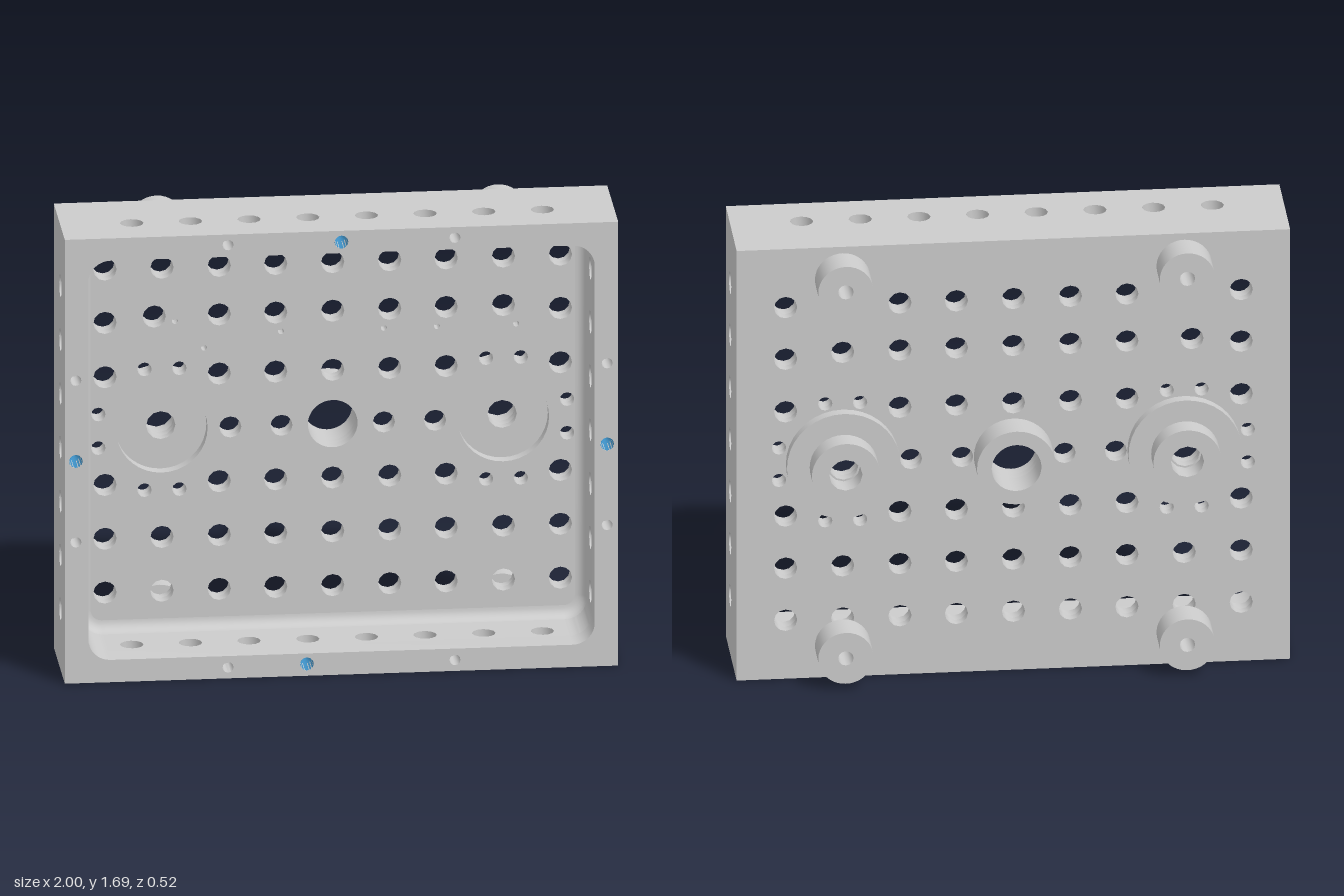
import * as THREE from 'three';
import { toCreasedNormals } from 'three/addons/utils/BufferGeometryUtils.js';

const grey = new THREE.MeshStandardMaterial({ color: 0xcccccc });
const greyDouble = new THREE.MeshStandardMaterial({ color: 0xcccccc, side: THREE.DoubleSide });
const blue = new THREE.MeshStandardMaterial({ color: 0x3d8fc4, side: THREE.DoubleSide });

const H = 1.69, CY = H / 2;              // overall height and its middle
const FRONT = 0.26, BACK = -0.14;        // body faces
const FLOOR = -0.06, SPLIT = -0.105;     // tray floor and recess floor
const STEP = 0.16;                       // bottom of the blind rim holes
const IW = 0.915, IH = 0.76, IR = 0.08;  // cavity half sizes and corner radius
const PORT = 0.617, HOLE = 0.042;

function circlePoints(x, y, r) {
  const n = r > 0.08 ? 36 : 12;
  return Array.from({ length: n }, (_, i) => {
    const a = (i / n) * Math.PI * 2;
    return new THREE.Vector2(x + r * Math.cos(a), y + r * Math.sin(a));
  });
}

// rounded rectangle around the cavity centre, moved inward by d
function cavityPoints(d) {
  const pts = [], r = IR - d;
  for (let c = 0; c < 4; c++) {
    const sx = c === 0 || c === 3 ? 1 : -1, sy = c < 2 ? 1 : -1;
    for (let i = 0; i <= 8; i++) {
      const a = (c + i / 8) * Math.PI / 2;
      pts.push(new THREE.Vector2(sx * (IW - IR) + r * Math.cos(a), CY + sy * (IH - IR) + r * Math.sin(a)));
    }
  }
  return pts;
}

function rect(x0, y0, x1, y1) {
  return new THREE.Shape([[x0, y0], [x1, y0], [x1, y1], [x0, y1]].map(p => new THREE.Vector2(...p)));
}

// holes are [x, y, radius]
function drill(shape, holes) {
  holes.forEach(h => shape.holes.push(new THREE.Path(circlePoints(...h))));
  return shape;
}

function extrude(shape, depth) {
  return toCreasedNormals(new THREE.ExtrudeGeometry(shape, { depth, bevelEnabled: false, curveSegments: 8 }), 0.6);
}

export function createModel() {
  const group = new THREE.Group();
  const add = (name, geometry, x = 0, y = 0, z = 0, material = grey) => {
    const mesh = new THREE.Mesh(geometry, material);
    mesh.name = name;
    mesh.position.set(x, y, z);
    group.add(mesh);
    return mesh;
  };

  // hole pattern of the back plate
  const holes = [[0, CY, 0.09]];
  for (const y of [0.23, 0.435, 0.64, 1.05, 1.275, 1.46]) {
    for (const x of [-0.823, -PORT, -0.41, -0.206, 0, 0.206, 0.41, PORT, 0.823]) {
      const end = Math.abs(x) > 0.8, port = Math.abs(x) === PORT;
      if (port && (y === 0.64 || y === 1.05)) continue;
      if (y === 1.275) holes.push([x === -PORT ? -0.645 : x, end ? 1.257 : y, HOLE]);
      else holes.push([x, y, HOLE]);
    }
  }
  for (const s of [-1, 1]) {
    holes.push([s * 0.37, CY, 0.04], [s * 0.185, CY, 0.04]);
    // small holes around each port
    for (const t of [-1, 1]) {
      holes.push([s * 0.847, CY + t * 0.064, 0.026]);
      for (const u of [-1, 1]) holes.push([s * PORT + u * 0.063, CY + t * 0.23, 0.026]);
    }
  }
  const pins = [[-0.57, 1.255], [-0.465, 1.15], [-0.187, 1.203], [0.185, 1.203], [0.377, 1.203], [0.663, 1.203]]
    .map(p => [...p, 0.011]);
  const ports = r => [[-PORT, CY, r], [PORT, CY, r]];

  // back plate in two layers, so recesses and pin holes stay blind
  add('floorPlate', extrude(drill(rect(-1, 0, 1, H), [...holes, ...pins, ...ports(0.165)]), FLOOR - SPLIT), 0, 0, SPLIT);
  add('backPlate', extrude(drill(rect(-1, 0, 1, H), [...holes, ...ports(0.053)]), SPLIT - BACK), 0, 0, BACK);

  // side walls with through holes
  const sideHoles = Array.from({ length: 7 }, (_, i) => [-0.1, 0.23 + i * 0.205, HOLE]);
  const side = extrude(drill(rect(-STEP, 0, -FLOOR, H), sideHoles), 1 - IW).rotateY(Math.PI / 2);
  add('leftWall', side, IW);
  add('rightWall', side, -1);

  // top and bottom walls with through holes
  const endHoles = Array.from({ length: 8 }, (_, i) => [-0.742 + i * 0.212, -0.1, HOLE]);
  const end = extrude(drill(rect(-IW, -STEP, IW, -FLOOR), endHoles), CY - IH).rotateX(-Math.PI / 2);
  add('bottomWall', end);
  add('topWall', end, 0, CY + IH);

  // rounded inside corners
  const corner = new THREE.Shape();
  corner.moveTo(0, 0);
  corner.lineTo(-IR, 0);
  corner.absarc(-IR, -IR, IR, Math.PI / 2, 0, true);
  corner.lineTo(0, 0);
  const cornerGeometry = extrude(corner, STEP - FLOOR);
  [[1, 1], [-1, 1], [-1, -1], [1, -1]].forEach(([sx, sy], i) => {
    add('innerCorner', cornerGeometry, sx * IW, CY + sy * IH, FLOOR).rotation.z = i * Math.PI / 2;
  });

  // front rim with blind screw holes
  const screws = [];
  for (const s of [-1, 1]) {
    screws.push([s * 0.41, 1.65, 0.02], [s * 0.41, 0.042, 0.02], [s * 0.96, 1.153, 0.02], [s * 0.96, 0.537, 0.02]);
  }
  const sockets = [[0, 1.647], [-0.96, CY], [0.96, CY], [-0.125, 0.045]];
  const rim = drill(rect(-1, 0, 1, H), [...screws, ...sockets.map(p => [...p, 0.025])]);
  rim.holes.push(new THREE.Path(cavityPoints(0)));
  add('frontRim', extrude(rim, FRONT - STEP), 0, 0, STEP);

  // coloured socket linings
  const cup = new THREE.LatheGeometry([[0, -0.09], [0.0245, -0.075], [0.0245, 0]]
    .map(p => new THREE.Vector2(...p)), 16).rotateX(Math.PI / 2);
  sockets.forEach(([x, y]) => add('socketLining', cup, x, y, FRONT, blue));

  // concave fillet between floor and walls
  const fillet = 0.04, steps = 6, positions = [], index = [];
  for (let k = 0; k <= steps; k++) {
    const a = (k / steps) * Math.PI / 2;
    const loop = cavityPoints(fillet * (1 - Math.cos(a)));
    const n = loop.length;
    loop.forEach((p, i) => {
      positions.push(p.x, p.y, FLOOR + fillet * (1 - Math.sin(a)));
      if (k === steps) return;
      const p0 = k * n + i, p1 = k * n + (i + 1) % n;
      index.push(p0, p1, p0 + n, p1, p1 + n, p0 + n);
    });
  }
  const filletGeometry = new THREE.BufferGeometry();
  filletGeometry.setAttribute('position', new THREE.Float32BufferAttribute(positions, 3));
  filletGeometry.setIndex(index);
  filletGeometry.computeVertexNormals();
  add('floorFillet', filletGeometry, 0, 0, 0, greyDouble);

  // bosses on the back
  const boss = (name, x, y, r, bore, z0, z1) =>
    add(name, extrude(drill(new THREE.Shape(circlePoints(0, 0, r)), [[0, 0, bore]]), z1 - z0), x, y, z0);
  boss('centreBoss', 0, CY, 0.143, 0.09, -0.257, BACK);
  for (const s of [-1, 1]) {
    boss('portFlange', s * PORT, CY, 0.205, 0.053, -0.18, BACK);
    boss('portHub', s * PORT, CY, 0.123, 0.06, -0.262, -0.18);
    boss('upperFoot', s * PORT, 1.565, 0.1, 0.028, -0.262, BACK);
    boss('lowerFoot', s * PORT, 0.125, 0.1, 0.028, -0.262, BACK);
  }
  return group;
}
